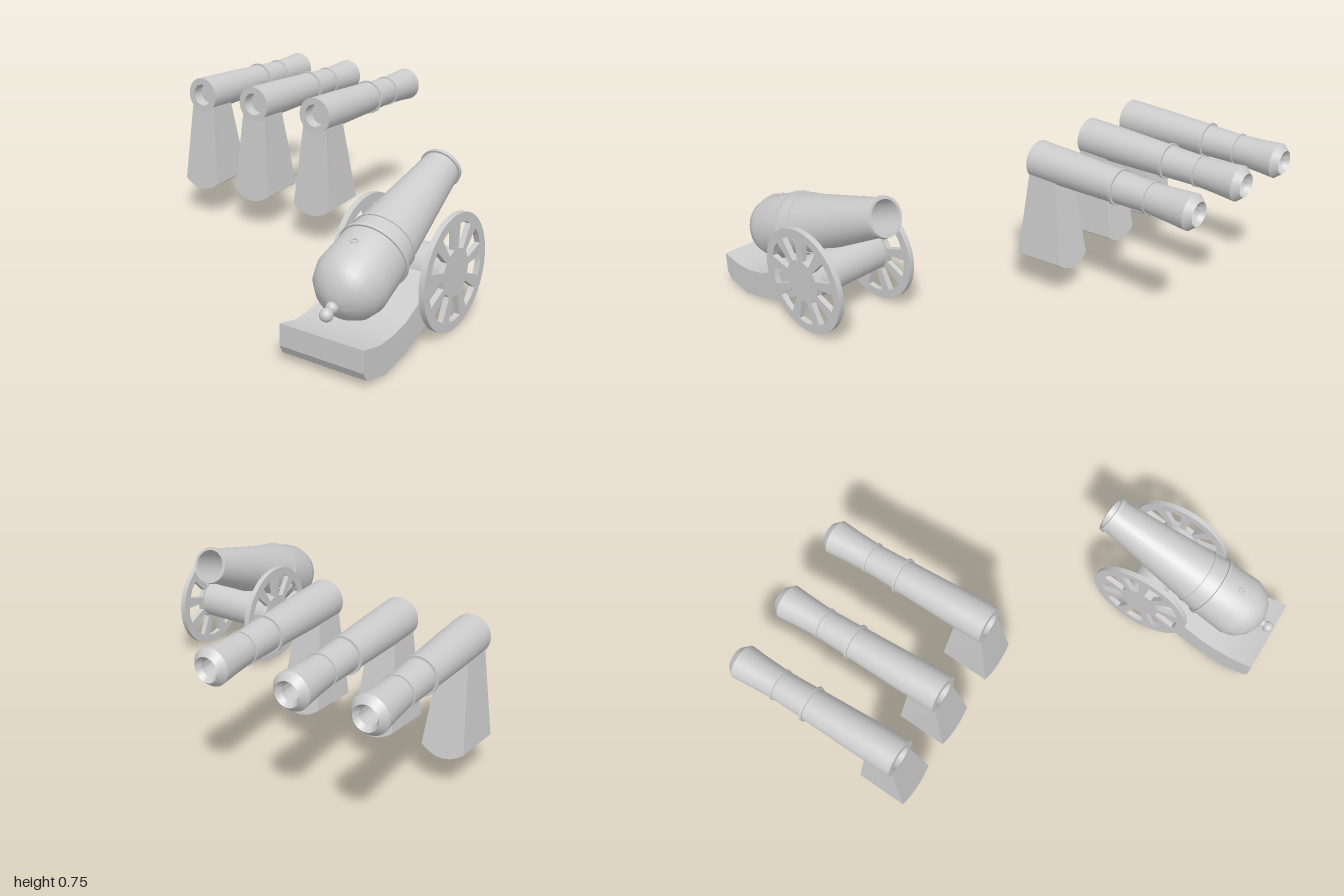
import * as THREE from 'three';
import { toCreasedNormals } from 'three/addons/utils/BufferGeometryUtils.js';

const material = new THREE.MeshStandardMaterial({ color: 0xcccccc });

function part(name, geometry, parent, x = 0, y = 0, z = 0) {
  const mesh = new THREE.Mesh(geometry, material);
  mesh.name = name;
  mesh.position.set(x, y, z);
  parent.add(mesh);
  return mesh;
}

// Turned part lying along +x; profile pairs are [x, radius] from rear to muzzle and back down the bore
function turned(profile) {
  const points = profile.map(([x, r]) => new THREE.Vector2(r, x));
  const geometry = new THREE.LatheGeometry(points, 32).rotateZ(-Math.PI / 2);
  return toCreasedNormals(geometry, 0.5);
}

function extrude(shape, depth, curveSegments = 12) {
  return new THREE.ExtrudeGeometry(shape, { depth, bevelEnabled: false, curveSegments });
}

// Disc wheel pierced by nine wedge-shaped windows
function wheelGeometry() {
  const shape = new THREE.Shape().absarc(0, 0, 0.255, 0, Math.PI * 2);
  const polar = (r, a) => new THREE.Vector2(r * Math.cos(a), r * Math.sin(a));
  for (let i = 0; i < 9; i++) {
    const a = THREE.MathUtils.degToRad(31 + i * 40);
    shape.holes.push(new THREE.Path([
      polar(0.105, a - 0.2), polar(0.212, a - 0.22), polar(0.215, a),
      polar(0.212, a + 0.22), polar(0.105, a + 0.2),
    ]));
  }
  return toCreasedNormals(extrude(shape, 0.026, 20), 0.5);
}

// Tapering pedestal with a rounded underside, narrower towards the front
function pedestalGeometry() {
  const shape = new THREE.Shape();
  shape.moveTo(0.07, 0.61);
  shape.lineTo(-0.07, 0.61);
  shape.lineTo(-0.11, 0.2);
  shape.quadraticCurveTo(0, 0.118, 0.11, 0.2);
  shape.closePath();
  const geometry = extrude(shape, 1, 10);
  const p = geometry.attributes.position;
  const { lerp } = THREE.MathUtils;
  for (let i = 0; i < p.count; i++) {
    const across = p.getX(i), y = p.getY(i), d = p.getZ(i);
    const t = (0.61 - y) / 0.41;
    const x = lerp(lerp(0.118, 0.088, t), lerp(0.268, 0.338, t), d);
    p.setXYZ(i, x, y + 0.012 * d * t, -across * (1 - 0.1 * d));
  }
  geometry.computeVertexNormals();
  return toCreasedNormals(geometry, 0.5);
}

function createFieldCannon() {
  const cannon = new THREE.Group();
  cannon.name = 'fieldCannon';

  // Barrel group: origin at the muzzle, raised and slightly turned
  const barrel = new THREE.Group();
  barrel.name = 'barrelAssembly';
  barrel.position.set(-0.06, 0.605, 0.7);
  barrel.rotation.set(0, 0.035, THREE.MathUtils.degToRad(21));
  cannon.add(barrel);
  part('barrel', turned([
    [-0.93, 0], [-0.92, 0.05], [-0.893, 0.1], [-0.85, 0.138], [-0.79, 0.157],
    [-0.62, 0.15], [-0.62, 0.158], [-0.606, 0.158], [-0.606, 0.147],
    [-0.02, 0.086], [-0.02, 0.095], [0, 0.092], [0, 0.078], [-0.33, 0.076], [-0.33, 0],
  ]), barrel);
  part('barrelBand', turned([
    [-0.535, 0.138], [-0.535, 0.144], [-0.527, 0.144], [-0.527, 0.138],
  ]), barrel);
  part('breechNeck', new THREE.SphereGeometry(0.026, 16, 12), barrel, -0.933);
  part('breechKnob', new THREE.SphereGeometry(0.028, 16, 12), barrel, -0.975);
  part('touchHole', new THREE.TorusGeometry(0.012, 0.005, 8, 16).rotateX(Math.PI / 2),
    barrel, -0.71, 0.155, 0);

  // Curved trail that sweeps up to the axle
  const trail = new THREE.Shape([
    [-1, 0.176], [-1, 0.08], [-0.98, 0.043], [-0.85, 0.01], [-0.7, 0.04],
    [-0.55, 0.103], [-0.385, 0.18], [-0.365, 0.27], [-0.45, 0.288],
    [-0.6, 0.224], [-0.71, 0.172], [-0.8, 0.155], [-0.893, 0.152],
  ].map(([x, y]) => new THREE.Vector2(x, y)));
  part('trail', toCreasedNormals(extrude(trail, 0.393), 0.35), cannon, 0, 0, 0.53);

  part('axle', new THREE.CylinderGeometry(0.097, 0.097, 0.4, 32).rotateX(Math.PI / 2),
    cannon, -0.363, 0.272, 0.727);
  const wheel = wheelGeometry();
  part('leftWheel', wheel, cannon, -0.363, 0.272, 0.503);
  part('rightWheel', wheel, cannon, -0.363, 0.272, 0.924);
  return cannon;
}

export function createModel() {
  const model = new THREE.Group();
  model.name = 'cannons';
  model.add(createFieldCannon());

  // Three matching guns on pedestals
  const gunBarrel = turned([
    [0.17, 0], [0.17, 0.054], [0.115, 0.056], [0.115, 0.09], [0.3, 0.087],
    [0.583, 0.078], [0.583, 0.087], [0.594, 0.087], [0.594, 0.076],
    [0.754, 0.071], [0.754, 0.077], [0.762, 0.077], [0.762, 0.071],
    [0.88, 0.077], [0.965, 0.084], [0.998, 0.056], [0.975, 0.04], [0.8, 0.038], [0.8, 0],
  ]);
  const pedestal = pedestalGeometry();
  [-0.113, -0.497, -0.84].forEach((z, i) => {
    const gun = new THREE.Group();
    gun.name = `pedestalGun${i + 1}`;
    gun.position.z = z;
    part('gunBarrel', gunBarrel, gun, 0, 0.667, 0);
    part('pedestal', pedestal, gun);
    model.add(gun);
  });
  return model;
}
